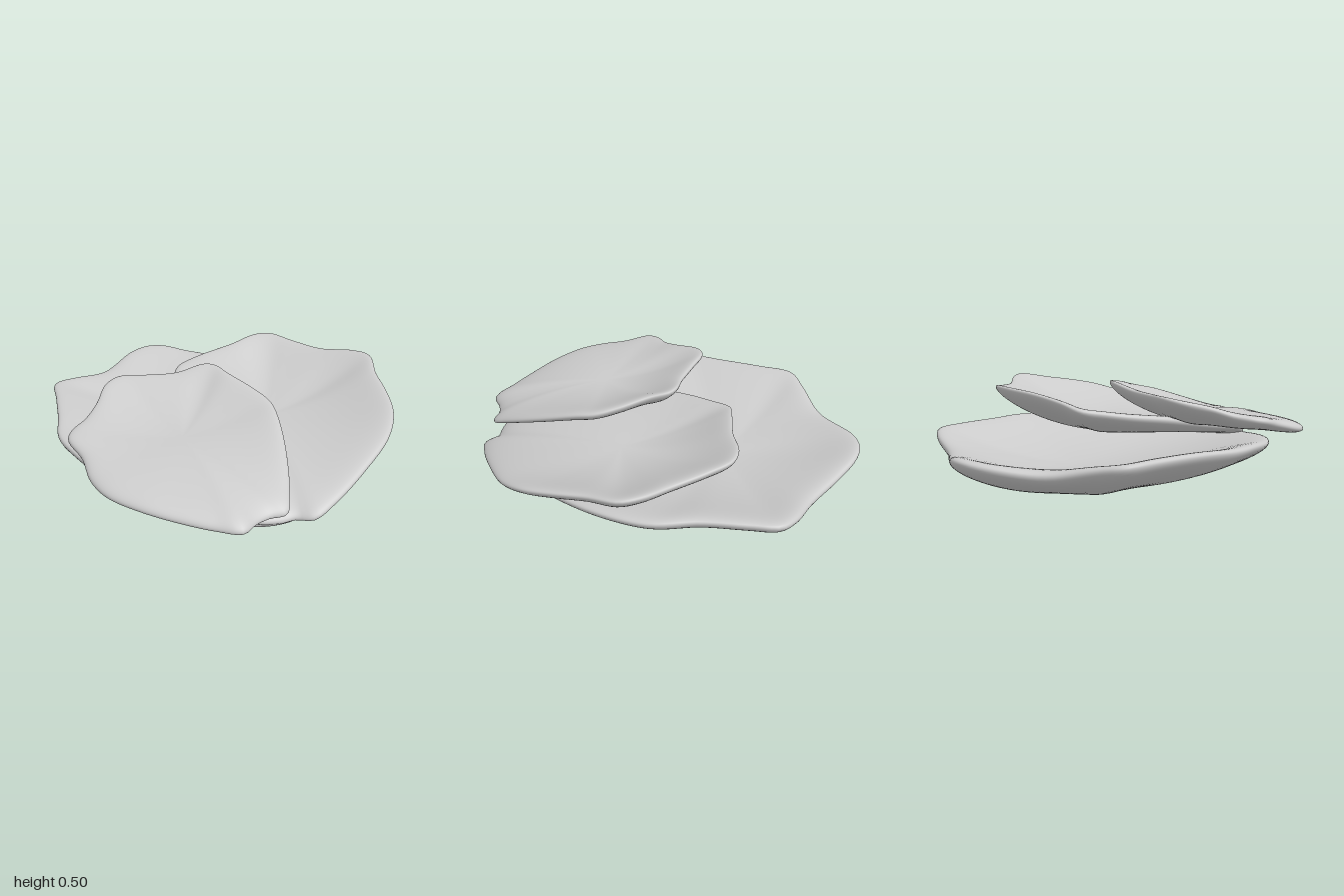
import * as THREE from 'three';

const SEGMENTS = 144;
const RINGS = 24;

// Closed cupped plate: rim is a loop of [x, y, z], dished down to the centre point,
// with a rounded lip. half and edge = half thickness at the centre and near the rim.
function plate(name, centre, rim, half, edge, material) {
  const curve = new THREE.CatmullRomCurve3(rim.map(p => new THREE.Vector3(...p)), true, 'centripetal');
  const loop = curve.getSpacedPoints(SEGMENTS).slice(0, SEGMENTS);
  const c = new THREE.Vector3(...centre);

  // Rim heights averaged over neighbours: small waves fade out quickly away from the rim
  const reach = 9;
  const broad = loop.map((_, s) => {
    let sum = 0;
    for (let d = -reach; d <= reach; d++) sum += loop[(s + d + SEGMENTS) % SEGMENTS].y;
    return sum / (2 * reach + 1);
  });

  // Rings run from the upper pole, over the rim, to the lower pole
  const pos = [c.x, c.y + half, c.z], index = [];
  const total = RINGS * 2;
  for (let r = 1; r < total; r++) {
    const k = r / total * 2 - 1;                       // -1 upper pole, 0 rim, 1 lower pole
    const t = 1 - k * k;                               // rings gather towards the rim
    const round = Math.sqrt(1 - Math.pow(t, 12));      // rounded lip
    const thick = -Math.sign(k) * round * (half + (edge - half) * t * t);
    loop.forEach((p, s) => pos.push(
      c.x + (p.x - c.x) * t,
      c.y + (broad[s] - c.y) * Math.pow(t, 1.9) + (p.y - broad[s]) * Math.pow(t, 4) + thick,
      c.z + (p.z - c.z) * t
    ));
  }
  const last = pos.length / 3;
  pos.push(c.x, c.y - half, c.z);

  const at = (r, s) => 1 + (r - 1) * SEGMENTS + s % SEGMENTS;
  for (let s = 0; s < SEGMENTS; s++) {
    index.push(0, at(1, s), at(1, s + 1));
    for (let r = 1; r < total - 1; r++) {
      const a = at(r, s), b = at(r + 1, s), d = at(r, s + 1), e = at(r + 1, s + 1);
      index.push(a, b, d, b, e, d);
    }
    index.push(at(total - 1, s), last, at(total - 1, s + 1));
  }

  const g = new THREE.BufferGeometry();
  g.setAttribute('position', new THREE.Float32BufferAttribute(pos, 3));
  g.setIndex(index);
  g.computeVertexNormals();
  const mesh = new THREE.Mesh(g, material);
  mesh.name = name;
  return mesh;
}

export function createModel() {
  const group = new THREE.Group();
  group.name = 'overlappingPlates';
  const material = new THREE.MeshStandardMaterial({ color: 0xcccccc });

  // Rims run anticlockwise seen from above: front, +x side, back, -x side
  group.add(plate('lowerPlate', [-0.07, 0.058, -0.3], [
    [-0.05, 0.13, 0.9], [0.15, 0.14, 0.85], [0.35, 0.17, 0.69], [0.54, 0.2, 0.43],
    [0.67, 0.23, 0.17], [0.71, 0.24, -0.03], [0.67, 0.245, -0.25], [0.66, 0.245, -0.48],
    [0.645, 0.24, -0.62], [0.56, 0.22, -0.69], [0.36, 0.18, -0.77], [0.16, 0.19, -0.9],
    [0.03, 0.215, -0.98], [-0.07, 0.22, -1], [-0.18, 0.21, -0.97], [-0.4, 0.18, -0.8],
    [-0.6, 0.22, -0.7], [-0.715, 0.24, -0.63], [-0.75, 0.245, -0.45], [-0.79, 0.245, -0.22],
    [-0.83, 0.24, -0.02], [-0.79, 0.23, 0.17], [-0.67, 0.2, 0.45], [-0.47, 0.17, 0.7],
    [-0.25, 0.14, 0.85]
  ], 0.058, 0.048, material));

  group.add(plate('middlePlate', [0.18, 0.24, 0.2], [
    [0.08, 0.15, 0.955], [0.2, 0.185, 0.92], [0.4, 0.25, 0.82], [0.6, 0.32, 0.69],
    [0.7, 0.37, 0.56], [0.75, 0.405, 0.4], [0.78, 0.43, 0.25], [0.83, 0.46, 0.09],
    [0.78, 0.455, -0.01], [0.66, 0.435, -0.13], [0.55, 0.445, -0.28], [0.47, 0.46, -0.38],
    [0.38, 0.46, -0.4], [0.22, 0.44, -0.36], [0.02, 0.41, -0.34], [-0.1, 0.38, -0.32],
    [-0.17, 0.36, -0.22], [-0.24, 0.34, -0.1], [-0.32, 0.31, 0.12], [-0.35, 0.26, 0.4],
    [-0.31, 0.21, 0.68], [-0.2, 0.155, 0.87], [-0.07, 0.14, 0.91], [0.01, 0.14, 0.91]
  ], 0.042, 0.038, material));

  group.add(plate('upperPlate', [-0.33, 0.31, 0.38], [
    [-0.28, 0.2, 1.005], [-0.2, 0.2, 0.96], [-0.13, 0.2, 0.94], [-0.05, 0.205, 0.945],
    [0.0, 0.245, 0.86], [0.08, 0.33, 0.65], [0.13, 0.4, 0.45], [0.14, 0.425, 0.34],
    [0.1, 0.45, 0.22], [0.03, 0.48, 0.08], [-0.01, 0.495, -0.02], [-0.06, 0.495, -0.05],
    [-0.2, 0.465, -0.06], [-0.35, 0.46, -0.1], [-0.48, 0.46, -0.135], [-0.56, 0.445, -0.1],
    [-0.64, 0.41, 0.02], [-0.72, 0.375, 0.1], [-0.8, 0.36, 0.16], [-0.83, 0.35, 0.22],
    [-0.8, 0.32, 0.35], [-0.8, 0.285, 0.5], [-0.76, 0.265, 0.62], [-0.65, 0.245, 0.75],
    [-0.5, 0.22, 0.87], [-0.38, 0.205, 0.95]
  ], 0.036, 0.034, material));

  return group;
}
